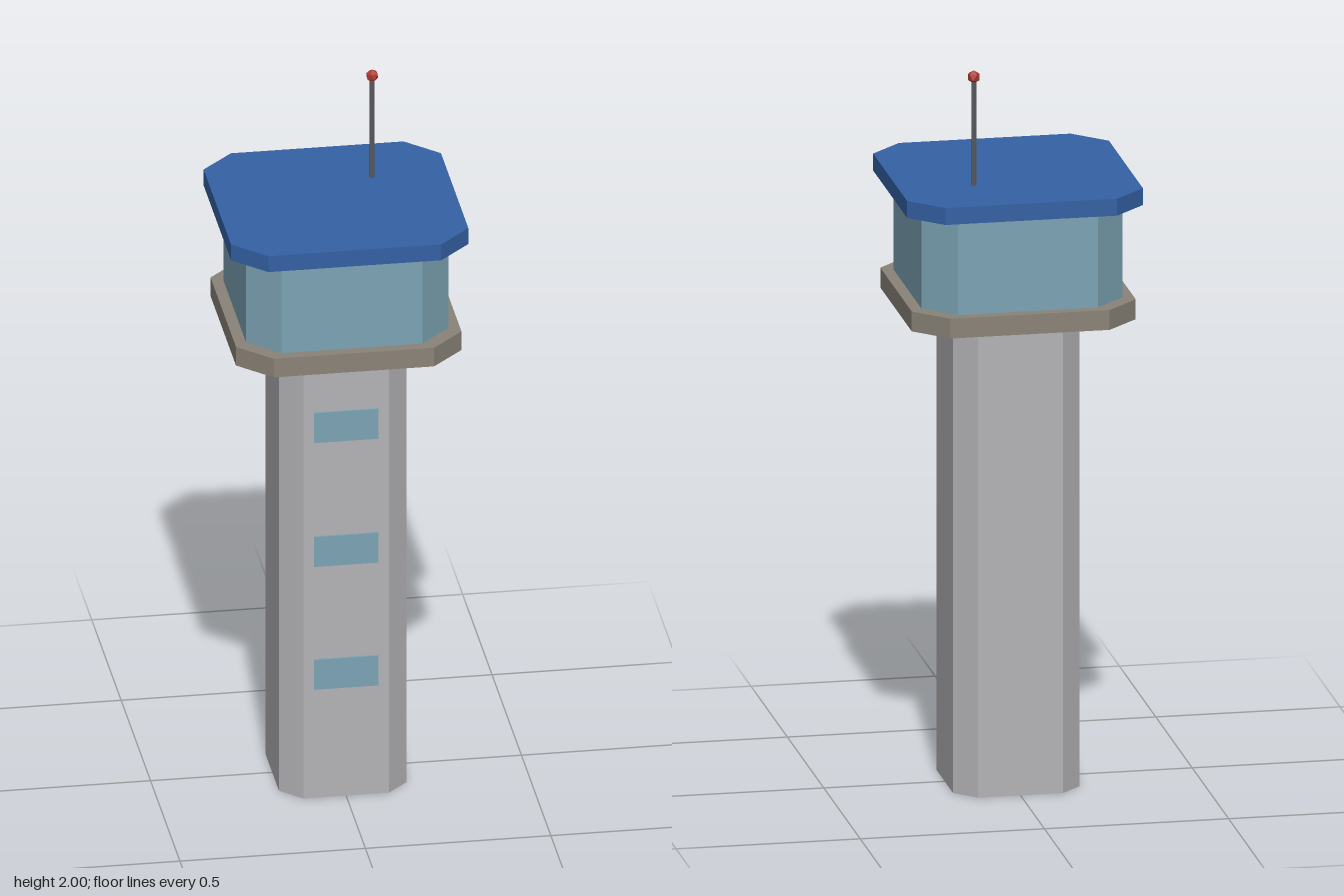
import * as THREE from 'three';

const material = (color) => new THREE.MeshStandardMaterial({ color, flatShading: true });

// Upright block with a square plan and cut corners: half = half width, flat = half length of each straight side
function octBlock(name, half, flat, y0, y1, mat) {
  const corners = [
    [half, -flat], [half, flat], [flat, half], [-flat, half],
    [-half, flat], [-half, -flat], [-flat, -half], [flat, -half],
  ].map(([x, y]) => new THREE.Vector2(x, y));
  const geometry = new THREE.ExtrudeGeometry(new THREE.Shape(corners), { depth: y1 - y0, bevelEnabled: false });
  geometry.rotateX(-Math.PI / 2);
  const mesh = new THREE.Mesh(geometry, mat);
  mesh.name = name;
  mesh.position.y = y0;
  return mesh;
}

export function createModel() {
  const tower = new THREE.Group();
  tower.name = 'controlTower';

  const concrete = material(0xb4b3b6);
  const stone = material(0x8a8378);
  const glass = material(0x7ca3b4);
  const blue = material(0x3461a4);
  const steel = material(0x5a5a5e);
  const red = material(0xb03a32);

  // Stacked main volumes
  tower.add(
    octBlock('shaft', 0.172, 0.115, 0, 1.315, concrete),
    octBlock('deck', 0.304, 0.216, 1.315, 1.37, stone),
    octBlock('glassCabin', 0.273, 0.19, 1.37, 1.635, glass),
    octBlock('roof', 0.32, 0.233, 1.635, 1.682, blue),
  );

  // Shaft windows, front side only
  const windowGeometry = new THREE.BoxGeometry(0.174, 0.088, 0.02);
  [0.366, 0.729, 1.095].forEach((y, i) => {
    const pane = new THREE.Mesh(windowGeometry, glass);
    pane.name = `shaftWindow${i + 1}`;
    pane.position.set(0, y, 0.168);
    tower.add(pane);
  });

  // Antenna with a beacon on its tip
  const antenna = new THREE.Group();
  antenna.name = 'antenna';
  antenna.position.set(0.116, 0, -0.117);
  const mast = new THREE.Mesh(new THREE.CylinderGeometry(0.007, 0.007, 0.3, 6), steel);
  mast.name = 'mast';
  mast.position.y = 1.832;
  const beacon = new THREE.Mesh(new THREE.IcosahedronGeometry(0.018, 0), red);
  beacon.name = 'beacon';
  beacon.rotation.z = Math.atan(2 / (1 + Math.sqrt(5)));
  beacon.position.y = 1.982;
  antenna.add(mast, beacon);
  tower.add(antenna);

  return tower;
}
